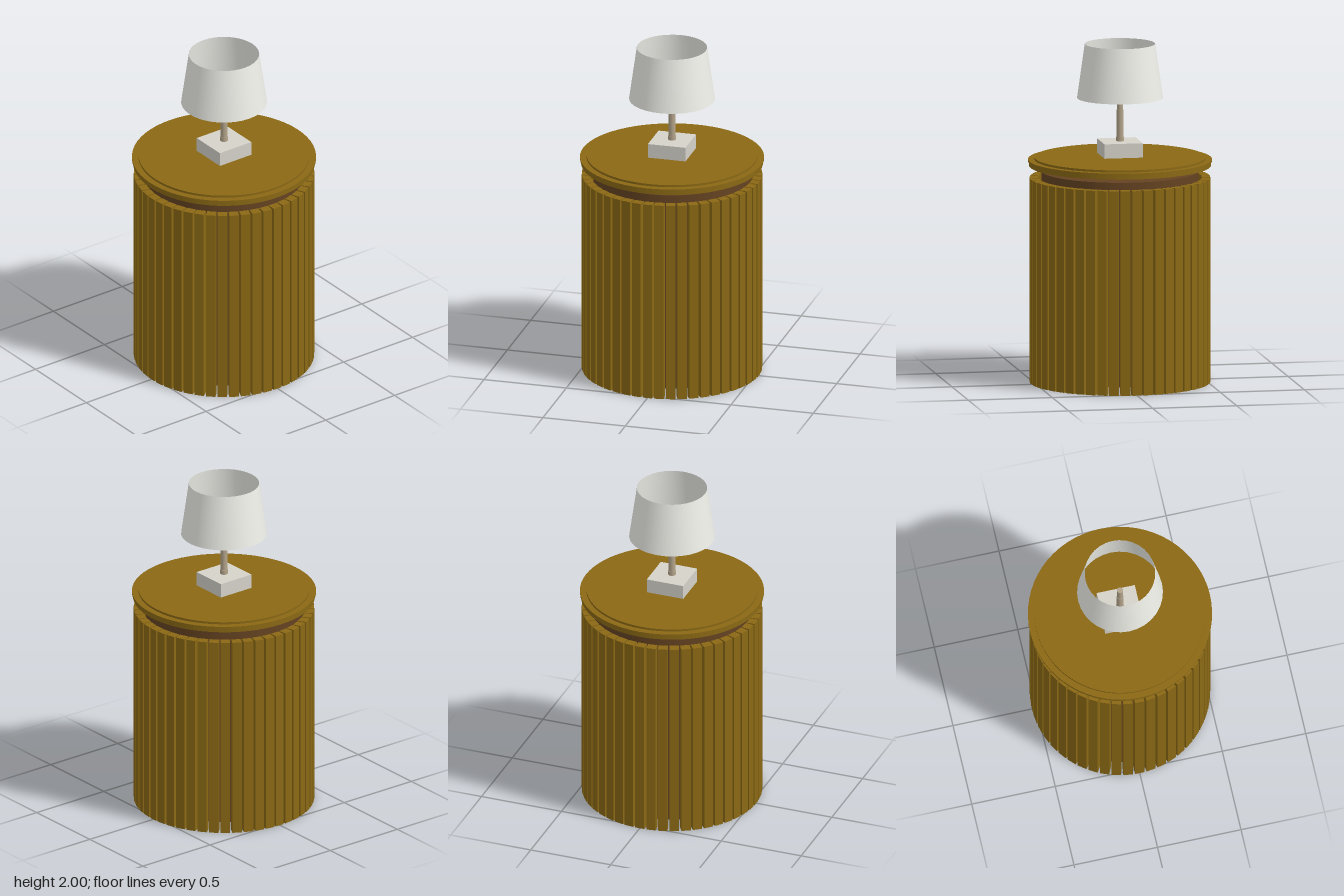
import * as THREE from 'three';

const material = (color, side = THREE.FrontSide) =>
  new THREE.MeshStandardMaterial({ color, side });

export function createModel() {
  const model = new THREE.Group();
  const wood = material(0x8b6914);
  const darkWood = material(0x654321);
  const metal = material(0xb5a58c);
  const stone = material(0xd6d2ca);
  const fabric = material(0xf0f0ea, THREE.DoubleSide);

  const add = (name, geometry, mat, y, parent = model) => {
    const mesh = new THREE.Mesh(geometry, mat);
    mesh.name = name;
    mesh.position.y = y;
    parent.add(mesh);
    return mesh;
  };
  // Upright cylinder given by its bottom and top heights
  const disc = (name, mat, rTop, rBottom, y0, y1, sides = 64, open = false, parent = model) =>
    add(name, new THREE.CylinderGeometry(rTop, rBottom, y1 - y0, sides, 1, open), mat, (y0 + y1) / 2, parent);

  // Drum core, raised slightly off the floor
  disc('core', darkWood, 0.46, 0.46, 0.04, 1.25);

  // Ring of vertical slats
  const slats = new THREE.Group();
  slats.name = 'slats';
  const count = 48, height = 1.21, depth = 0.05, outer = 0.527;
  const slatGeometry = new THREE.BoxGeometry(0.056, height, depth);
  for (let i = 0; i < count; i++) {
    const a = (i / count) * Math.PI * 2;
    const slat = add('slat', slatGeometry, wood, height / 2, slats);
    slat.position.x = Math.sin(a) * (outer - depth / 2);
    slat.position.z = Math.cos(a) * (outer - depth / 2);
    slat.rotation.y = a;
  }
  model.add(slats);

  // Stepped table top
  disc('tableTopEdge', wood, 0.532, 0.532, 1.28, 1.305);
  disc('tableTopLip', wood, 0.538, 0.538, 1.305, 1.317);
  disc('tableTopInlay', wood, 0.5, 0.5, 1.317, 1.33);

  // Table lamp
  const lamp = new THREE.Group();
  lamp.name = 'lamp';
  add('lampBase', new THREE.BoxGeometry(0.228, 0.085, 0.228), stone, 1.3825, lamp);
  disc('stemCollar', metal, 0.023, 0.023, 1.42, 1.45, 16, false, lamp);
  disc('lowerStem', metal, 0.02, 0.02, 1.45, 1.61, 16, false, lamp);
  disc('upperStem', metal, 0.018, 0.018, 1.61, 1.71, 16, false, lamp);
  disc('lampShade', fabric, 0.206, 0.251, 1.68, 2.0, 32, true, lamp);
  model.add(lamp);

  return model;
}
